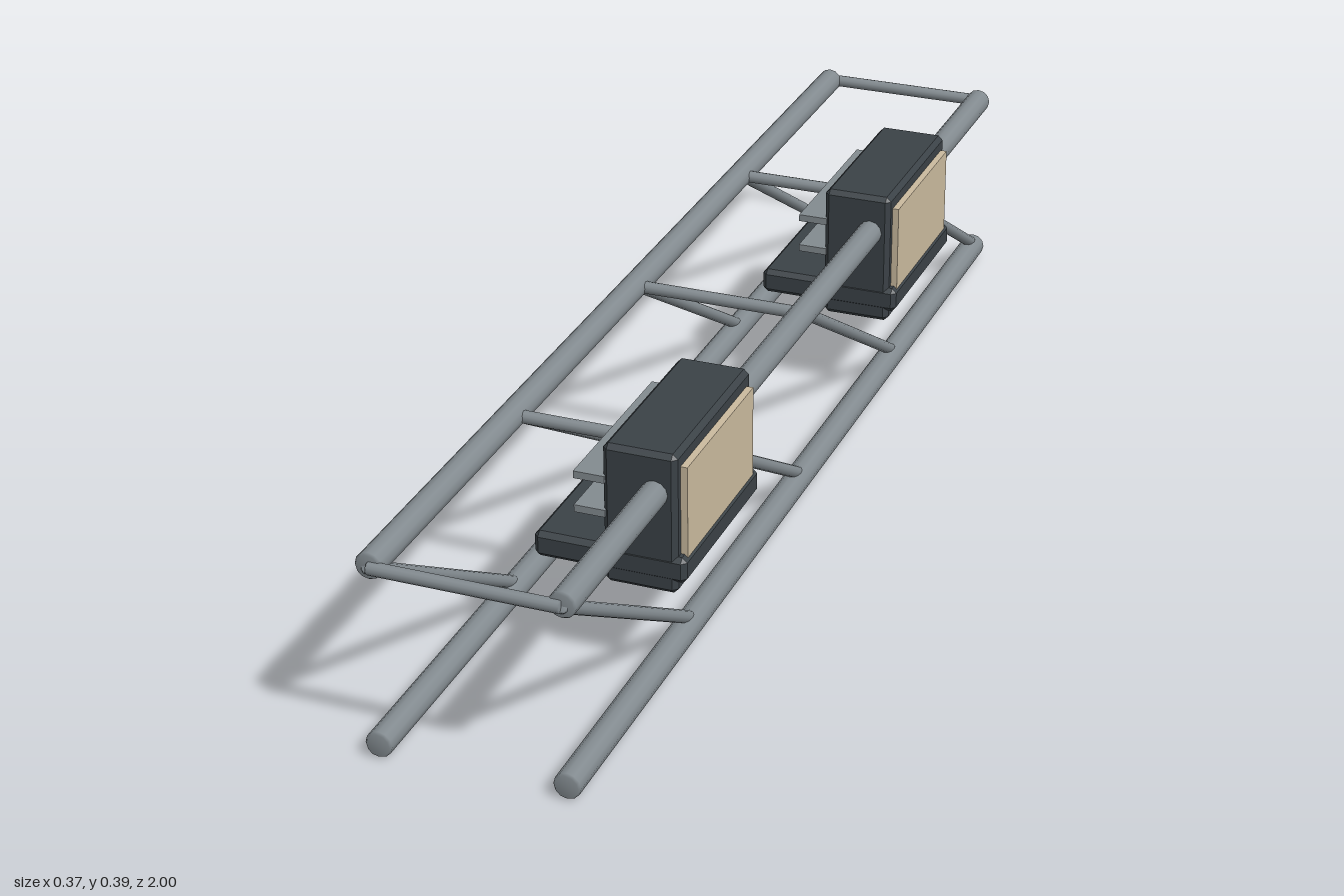
import * as THREE from 'three';
import { ConvexGeometry } from 'three/addons/geometries/ConvexGeometry.js';

const steel = new THREE.MeshStandardMaterial({ name: 'steel grey', color: 0x838b90 });
const dark = new THREE.MeshStandardMaterial({ name: 'dark housing', color: 0x3b4247 });
const tan = new THREE.MeshStandardMaterial({ name: 'tan panel', color: 0xcbbb9f });

const LEFT = 0.133, RIGHT = -0.164, TOP = 0.322, LOW = 0.0225, END = 0.99, BAY = END / 2;

function add(parent, name, geometry, material) {
  const mesh = new THREE.Mesh(geometry, material);
  mesh.name = name;
  parent.add(mesh);
  return mesh;
}

// Round bar between two points, with softly blunted ends
function bar(parent, name, a, b, r) {
  const from = new THREE.Vector3(...a), to = new THREE.Vector3(...b);
  const dir = to.clone().sub(from), h = dir.length() / 2, c = r * 0.2;
  const profile = [[0, -h], [r * 0.85, -h], [r, -h + c], [r, h - c], [r * 0.85, h], [0, h]]
    .map(([x, y]) => new THREE.Vector2(x, y));
  const mesh = add(parent, name, new THREE.LatheGeometry(profile, 12), steel);
  mesh.position.copy(from).add(to).multiplyScalar(0.5);
  mesh.quaternion.setFromUnitVectors(new THREE.Vector3(0, 1, 0), dir.normalize());
  return mesh;
}

// Block with every edge chamfered by c
function chamferedBox(w, h, d, c) {
  const points = [];
  for (const x of [-1, 1]) for (const y of [-1, 1]) for (const z of [-1, 1])
    for (let axis = 0; axis < 3; axis++) {
      const inset = [c, c, c];
      inset[axis] = 0;
      points.push(new THREE.Vector3(
        x * (w / 2 - inset[0]), y * (h / 2 - inset[1]), z * (d / 2 - inset[2])));
    }
  return new ConvexGeometry(points);
}

// Equipment unit clamped around the left upper rail
function equipmentUnit(z) {
  const unit = new THREE.Group();
  unit.name = 'equipmentUnit';
  unit.position.z = z;
  add(unit, 'housing', chamferedBox(0.118, 0.234, 0.31, 0.008), dark).position.set(0.109, 0.272, 0);
  add(unit, 'basePlate', chamferedBox(0.246, 0.043, 0.312, 0.008), dark).position.set(0.059, 0.197, 0);
  add(unit, 'facePanel', new THREE.BoxGeometry(0.012, 0.16, 0.275), tan).position.set(0.173, 0.285, 0);
  // Cooling fins on the inner side
  for (const y of [0.272, 0.329])
    add(unit, 'fin', new THREE.BoxGeometry(0.05, 0.012, 0.31), steel).position.set(0.029, y, 0);
  return unit;
}

export function createModel() {
  const model = new THREE.Group();
  model.name = 'trussWithUnits';

  // Long rails and side diagonals
  for (const x of [LEFT, RIGHT]) {
    for (const y of [TOP, LOW]) bar(model, 'rail', [x, y, -END], [x, y, END], 0.0215);
    for (let i = 0; i < 4; i++) {
      const z = END - i * BAY;
      bar(model, 'diagonal', [x, TOP, z], [x, LOW, z - BAY], 0.0105);
    }
  }

  // Cross bars between the upper rails
  for (let i = -2; i <= 2; i++)
    bar(model, 'crossBar', [RIGHT, TOP - 0.001, i * BAY], [LEFT, TOP - 0.001, i * BAY], 0.0105);

  for (const z of [-BAY, BAY]) model.add(equipmentUnit(z));
  return model;
}
